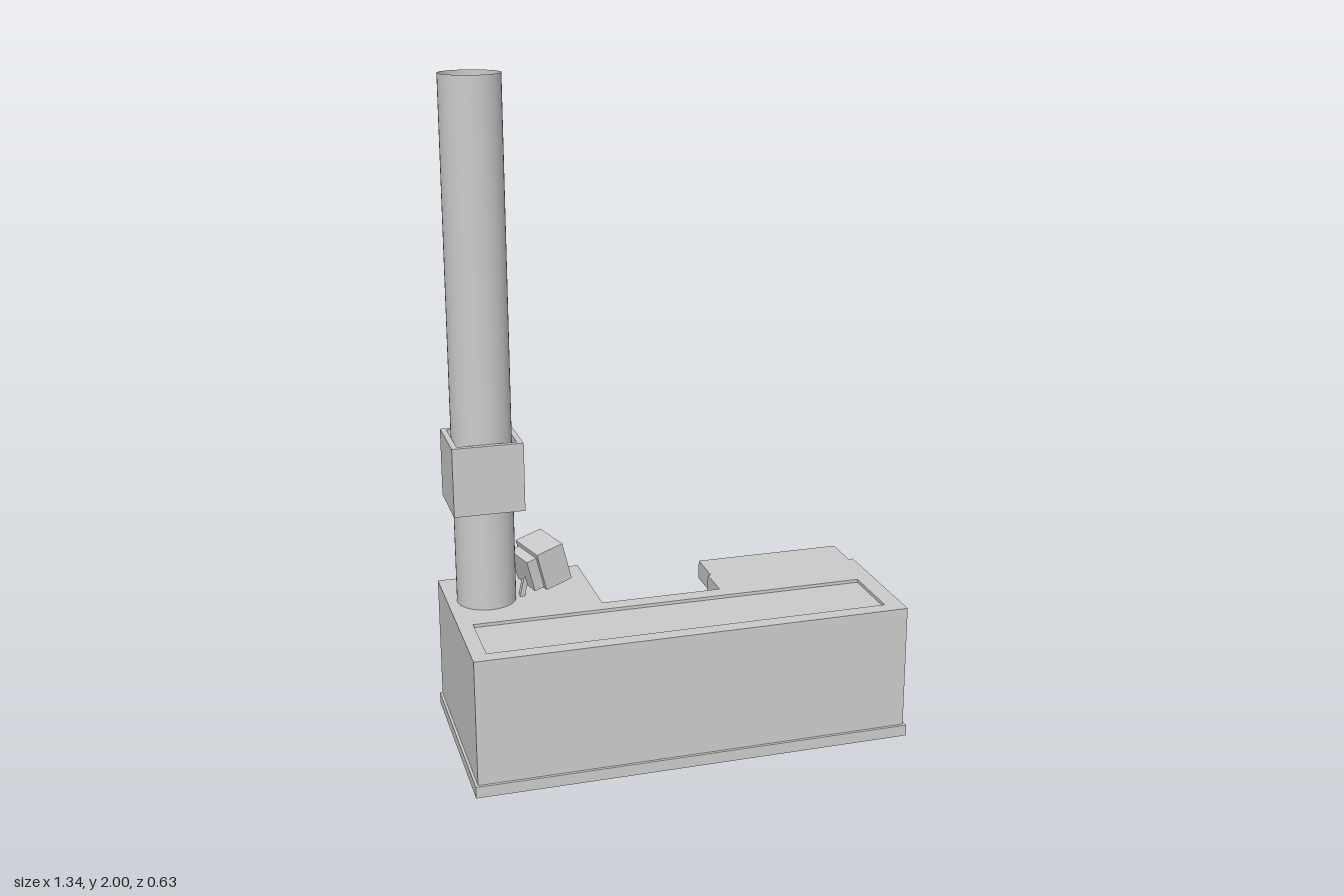
import * as THREE from 'three';

const material = new THREE.MeshStandardMaterial({ color: 0xcccccc, flatShading: true });
const smoothOpen = new THREE.MeshStandardMaterial({ color: 0xcccccc, side: THREE.DoubleSide });

function add(parent, name, geometry, x = 0, y = 0, z = 0, mat = material) {
  const mesh = new THREE.Mesh(geometry, mat);
  mesh.name = name;
  mesh.position.set(x, y, z);
  parent.add(mesh);
  return mesh;
}

// Plan outline given as [x, z] corners, extruded upwards
function slab(outline, height, hole) {
  const toPoints = (list) => list.map(([x, z]) => new THREE.Vector2(x, -z));
  const shape = new THREE.Shape(toPoints(outline));
  if (hole) shape.holes.push(new THREE.Path(toPoints(hole)));
  return new THREE.ExtrudeGeometry(shape, { depth: height, bevelEnabled: false }).rotateX(-Math.PI / 2);
}

const rect = (x0, x1, z0, z1) => [[x0, z1], [x1, z1], [x1, z0], [x0, z0]];

export function createModel() {
  const model = new THREE.Group();
  model.name = 'counter';

  // U-shaped counter body with a shallow tray sunk in its top
  const plan = [
    [-0.66, 0.306], [0.66, 0.306], [0.66, -0.118], [0.165, -0.118],
    [0.165, 0], [-0.21, 0], [-0.21, -0.318], [-0.66, -0.318],
  ];
  add(model, 'counterBody', slab(plan, 0.41));
  add(model, 'counterTop', slab(plan, 0.01, rect(-0.615, 0.605, 0.05, 0.26)), 0, 0.41, 0);

  // Plinth strip around the front and both ends
  add(model, 'plinth', slab([
    [-0.668, 0.315], [0.668, 0.315], [0.668, -0.118], [0.64, -0.118],
    [0.64, 0.28], [-0.64, 0.28], [-0.64, -0.318], [-0.668, -0.318],
  ], 0.035));

  // Overhanging shelf at the back
  add(model, 'backShelf', slab(rect(0.175, 0.645, -0.243, -0.11), 0.06), 0, 0.36, 0);

  // Open round column with a square collar
  const columnX = -0.54, columnZ = -0.133;
  add(model, 'column', new THREE.CylinderGeometry(0.09, 0.09, 1.58, 40, 1, true),
    columnX, 1.21, columnZ, smoothOpen);
  add(model, 'collar', slab(rect(-0.106, 0.106, -0.106, 0.106), 0.21,
    rect(-0.089, 0.089, -0.089, 0.089)), columnX, 0.73, columnZ);

  // Tilted monitor facing along the counter
  const monitor = new THREE.Group();
  monitor.name = 'monitor';
  monitor.position.set(-0.357, 0.525, -0.143);
  monitor.rotation.set(0, 0.24, 0.25);
  model.add(monitor);
  add(monitor, 'monitorCase', new THREE.BoxGeometry(0.08, 0.122, 0.15), -0.005, 0, 0);
  const bezel = slab(rect(-0.061, 0.061, -0.075, 0.075), 0.008, rect(-0.053, 0.053, -0.067, 0.067));
  bezel.rotateZ(-Math.PI / 2);
  add(monitor, 'monitorBezel', bezel, 0.035, 0, 0);
  add(monitor, 'monitorBack', new THREE.BoxGeometry(0.034, 0.1, 0.12), -0.06, -0.005, 0);

  // Slanted foot under the monitor
  const foot = add(model, 'monitorFoot', new THREE.BoxGeometry(0.014, 0.1, 0.024), -0.422, 0.462, -0.13);
  foot.rotation.z = -0.22;

  return model;
}
